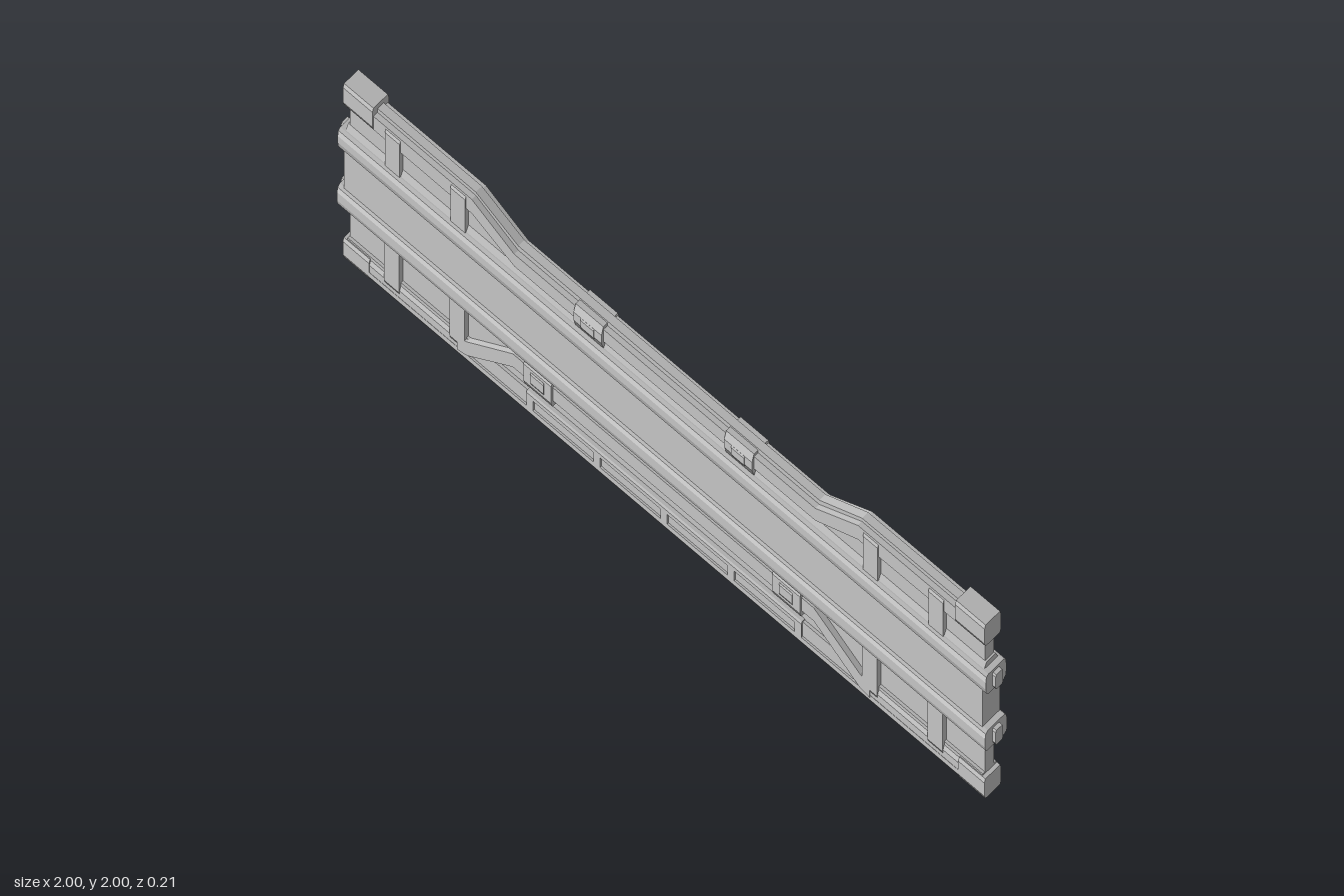
import * as THREE from 'three';

const SLOPE = -0.75;
const material = new THREE.MeshStandardMaterial({ color: 0xcccccc, flatShading: true, side: THREE.DoubleSide });
// Everything is laid out level, then sheared down along x.
const shear = new THREE.Matrix4().set(1, 0, 0, 0, SLOPE, 1, 0, 0, 0, 0, 1, 0, 0, 0, 0, 1);

export function createModel() {
  const group = new THREE.Group();

  function add(name, geometry) {
    geometry.applyMatrix4(shear);
    geometry.computeVertexNormals();
    const mesh = new THREE.Mesh(geometry, material);
    mesh.name = name;
    group.add(mesh);
  }

  // Outline in x and height, thickened evenly to both sides.
  function slab(name, points, z) {
    const shape = new THREE.Shape(points.map(p => new THREE.Vector2(...p)));
    const g = new THREE.ExtrudeGeometry(shape, { depth: 2 * z, bevelEnabled: false });
    add(name, g.translate(0, 0, -z));
  }

  // Half cross-section [z, height] from bottom to top, mirrored and run along x.
  function beam(name, half, x0, x1) {
    const outline = [...half, ...half.map(([z, v]) => [-z, v]).reverse()];
    const shape = new THREE.Shape(outline.map(([z, v]) => new THREE.Vector2(-z, v)));
    const g = new THREE.ExtrudeGeometry(shape, { depth: x1 - x0, bevelEnabled: false });
    add(name, g.rotateY(Math.PI / 2).translate(x0, 0, 0));
  }

  // Block with chamfered outer faces.
  function block(name, x, w, v0, v1, z, c = 0.012) {
    beam(name, [[z - c, v0], [z, v0 + c], [z, v1 - c], [z - c, v1]], x - w / 2, x + w / 2);
  }

  // Mirrored strip following a right-hand centre path [x, low, high].
  function strip(name, path, z) {
    const right = path.map(([x, lo, hi]) => ({ x, lo, hi }));
    const left = right.map(p => ({ ...p, x: -p.x })).reverse();
    const all = [...left, ...right];
    slab(name, [...all.map(p => [p.x, p.lo]), ...all.reverse().map(p => [p.x, p.hi])], z);
  }

  // Thin web behind the recesses
  strip('web', [[0.46, 0.75, 1.17], [0.59, 0.75, 1.23], [0.97, 0.75, 1.23]], 0.045);

  // Flat centre panel with sloped shoulders
  beam('centrePanel', [
    [0.045, 0.87], [0.075, 0.9], [0.085, 0.95], [0.085, 1.07], [0.075, 1.12], [0.045, 1.14],
  ], -0.975, 0.975);

  // Long guard rails
  beam('lowerRail', [[0.085, 0.895], [0.103, 0.9], [0.107, 0.91], [0.107, 0.935], [0.1, 0.948], [0.08, 0.955]], -0.99, 0.99);
  beam('upperRail', [[0.08, 1.065], [0.095, 1.072], [0.1, 1.085], [0.1, 1.105], [0.094, 1.12], [0.075, 1.125]], -0.99, 0.99);

  // Top flange dipping over the middle, with a narrow ridge
  strip('topFlange', [[0.46, 1.145, 1.182], [0.59, 1.197, 1.24], [0.96, 1.2, 1.24]], 0.07);
  strip('topRidge', [[0.46, 1.17, 1.195], [0.59, 1.225, 1.25], [0.96, 1.225, 1.252]], 0.03);

  // Bottom flange: a recessed bar framed by lips
  beam('bottomFlange', [[0.06, 0.738], [0.066, 0.745], [0.066, 0.8]], -0.97, 0.97);
  beam('bottomLip', [[0.072, 0.737], [0.08, 0.743], [0.08, 0.757]], -0.975, 0.975);
  beam('windowTopLip', [[0.08, 0.786], [0.08, 0.797], [0.072, 0.803]], -0.42, 0.42);
  for (let i = -2; i <= 2; i++) block('windowDivider', i * 0.205, 0.02, 0.74, 0.8, 0.08, 0.004);

  // Raised beam above the windows, bent down at both ends
  strip('lowerBeam', [[0.46, 0.842, 0.882], [0.6, 0.758, 0.8], [0.63, 0.752, 0.79]], 0.085);

  for (const s of [-1, 1]) {
    // Solid ends of the bottom flange
    block('bottomEndFlange', s * 0.785, 0.37, 0.742, 0.79, 0.078);

    // Posts bridging the recesses
    for (const x of [0.63, 0.83]) {
      block('upperPost', s * x, 0.045, 1.09, 1.235, 0.078, 0.01);
      block('lowerPost', s * x, 0.045, 0.765, 0.915, 0.085, 0.01);
    }

    // Clamp blocks on the beams
    block('upperClamp', s * 0.23, 0.085, 1.125, 1.19, 0.09, 0.02);
    block('upperClampInset', s * 0.23, 0.04, 1.14, 1.17, 0.096, 0.005);
    block('lowerClamp', s * 0.38, 0.085, 0.825, 0.9, 0.1, 0.012);
    block('lowerClampInset', s * 0.38, 0.04, 0.845, 0.88, 0.106, 0.005);

    // End caps and the small connectors between the rails
    block('topEndCap', s * 0.935, 0.09, 1.2, 1.265, 0.08, 0.01);
    block('bottomEndCap', s * 0.94, 0.08, 0.735, 0.795, 0.082, 0.01);
    for (const v of [0.925, 1.095]) block('railConnector', s * 0.985, 0.03, v - 0.022, v + 0.022, 0.035, 0.006);
  }

  return group;
}
